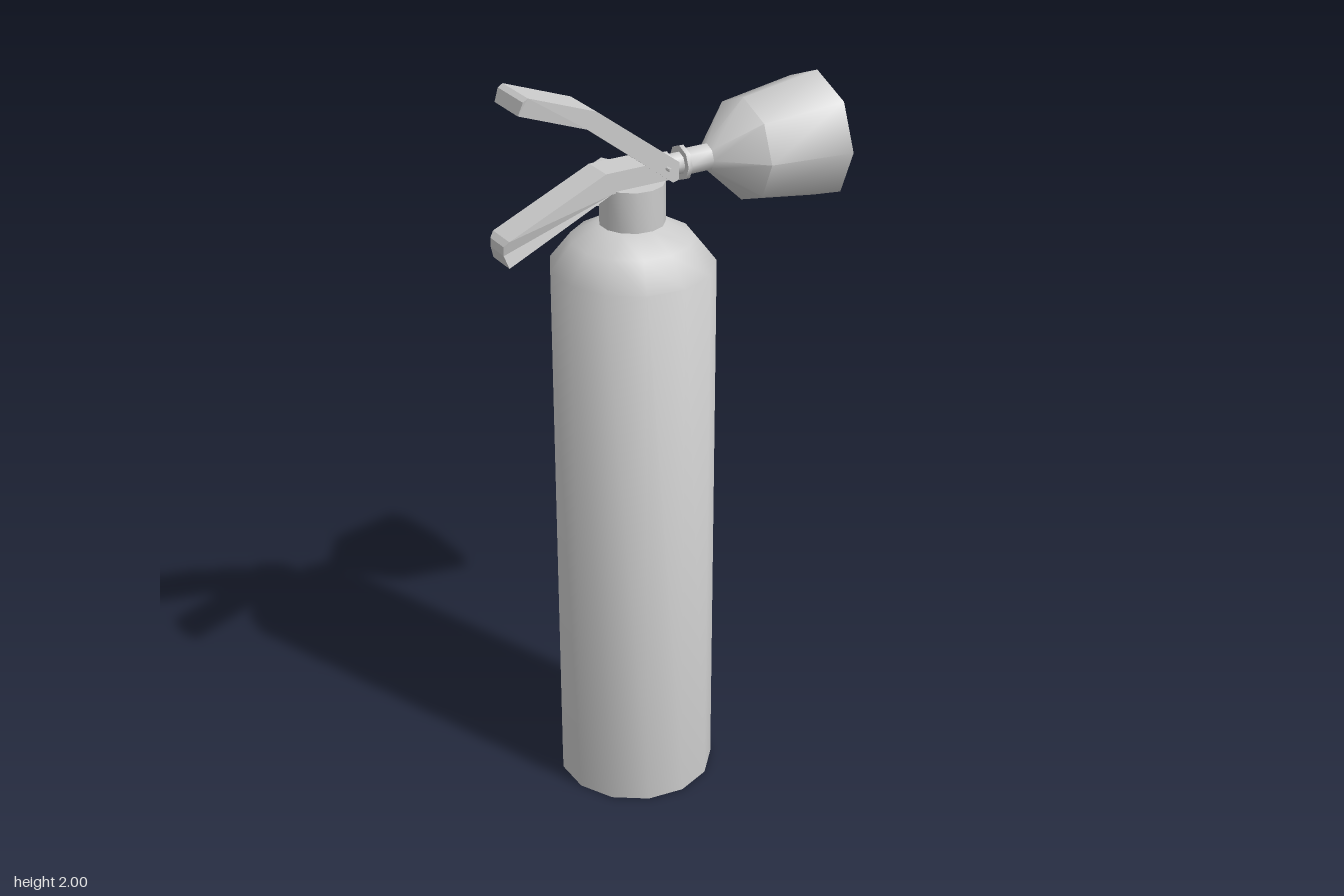
import * as THREE from 'three';
import { toCreasedNormals } from 'three/addons/utils/BufferGeometryUtils.js';

const grey = new THREE.MeshStandardMaterial({ color: 0xcccccc });
const CENTRE_X = -0.085;
const HOSE_Y = 1.735;

function addMesh(group, name, geometry) {
  const mesh = new THREE.Mesh(geometry, grey);
  mesh.name = name;
  group.add(mesh);
  return mesh;
}

// Turned part: profile of [radius, height] pairs, from bottom to top
function turned(profile, sides, start = 0) {
  const points = profile.map(([r, h]) => new THREE.Vector2(r, h));
  return toCreasedNormals(new THREE.LatheGeometry(points, sides, start), 0.9);
}

// Lever: side outline extruded across z, its tip narrowed beyond tipX
function lever(outline, width, tipX, tipScale) {
  const shape = new THREE.Shape(outline.map(([x, y]) => new THREE.Vector2(x, y)));
  const geometry = new THREE.ExtrudeGeometry(shape, { depth: width, bevelEnabled: false });
  geometry.translate(0, 0, -width / 2);
  const p = geometry.attributes.position;
  for (let i = 0; i < p.count; i++) {
    if (p.getX(i) < tipX) p.setZ(i, p.getZ(i) * tipScale);
  }
  geometry.computeVertexNormals();
  return geometry;
}

export function createModel() {
  const model = new THREE.Group();
  model.name = 'fireExtinguisher';

  // Tank with rounded shoulder, and the valve neck
  const tank = addMesh(model, 'tank', turned(
    [[0, 0], [0.21, 0], [0.21, 1.5], [0.155, 1.57], [0.083, 1.61], [0, 1.615]], 13, Math.PI / 2));
  tank.position.x = CENTRE_X;
  const neck = addMesh(model, 'valveNeck', turned(
    [[0.083, 1.6], [0.083, 1.715], [0, 1.715]], 13, Math.PI / 2));
  neck.position.x = CENTRE_X;

  // Squeeze lever above, carrying handle below
  addMesh(model, 'squeezeLever', lever(
    [[0.012, 1.765], [-0.215, 1.935], [-0.395, 2.0], [-0.408, 1.992], [-0.42, 1.96],
      [-0.24, 1.895], [-0.005, 1.715], [0.012, 1.72]], 0.125, -0.415, 0.93));
  addMesh(model, 'carryHandle', lever(
    [[0.0, 1.765], [-0.18, 1.765], [-0.445, 1.648], [-0.457, 1.635], [-0.457, 1.612],
      [-0.447, 1.58], [-0.165, 1.71], [0.0, 1.715]], 0.084, -0.45, 0.8));

  // Hose pipe with collar, and the hollow discharge horn, along +x
  const pipe = addMesh(model, 'hosePipe', turned(
    [[0.037, -0.02], [0.037, 0.015], [0.029, 0.015], [0.029, 0.05], [0.045, 0.05],
      [0.045, 0.062], [0.035, 0.062], [0.035, 0.135]], 8));
  const horn = addMesh(model, 'dischargeHorn', turned(
    [[0.035, 0.13], [0.135, 0.235], [0.168, 0.456], [0.16, 0.456], [0.128, 0.238], [0, 0.135]], 8));
  for (const part of [pipe, horn]) {
    part.rotation.z = -Math.PI / 2;
    part.position.y = HOSE_Y;
  }

  // Pressure gauge on the back of the neck
  const gauge = addMesh(model, 'pressureGauge', turned(
    [[0.039, 0.05], [0.039, 0.112], [0.062, 0.112], [0.062, 0.145], [0, 0.145]], 8));
  gauge.rotation.x = -Math.PI / 2;
  gauge.position.set(CENTRE_X - 0.003, 1.667, 0);

  // Locking pin through the lever
  const pin = addMesh(model, 'lockingPin', turned(
    [[0, -0.08], [0.005, -0.08], [0.005, 0.08], [0.008, 0.08], [0.008, 0.095], [0, 0.095]], 8));
  pin.rotation.x = -Math.PI / 2;
  pin.position.set(-0.022, 1.755, 0);

  return model;
}
